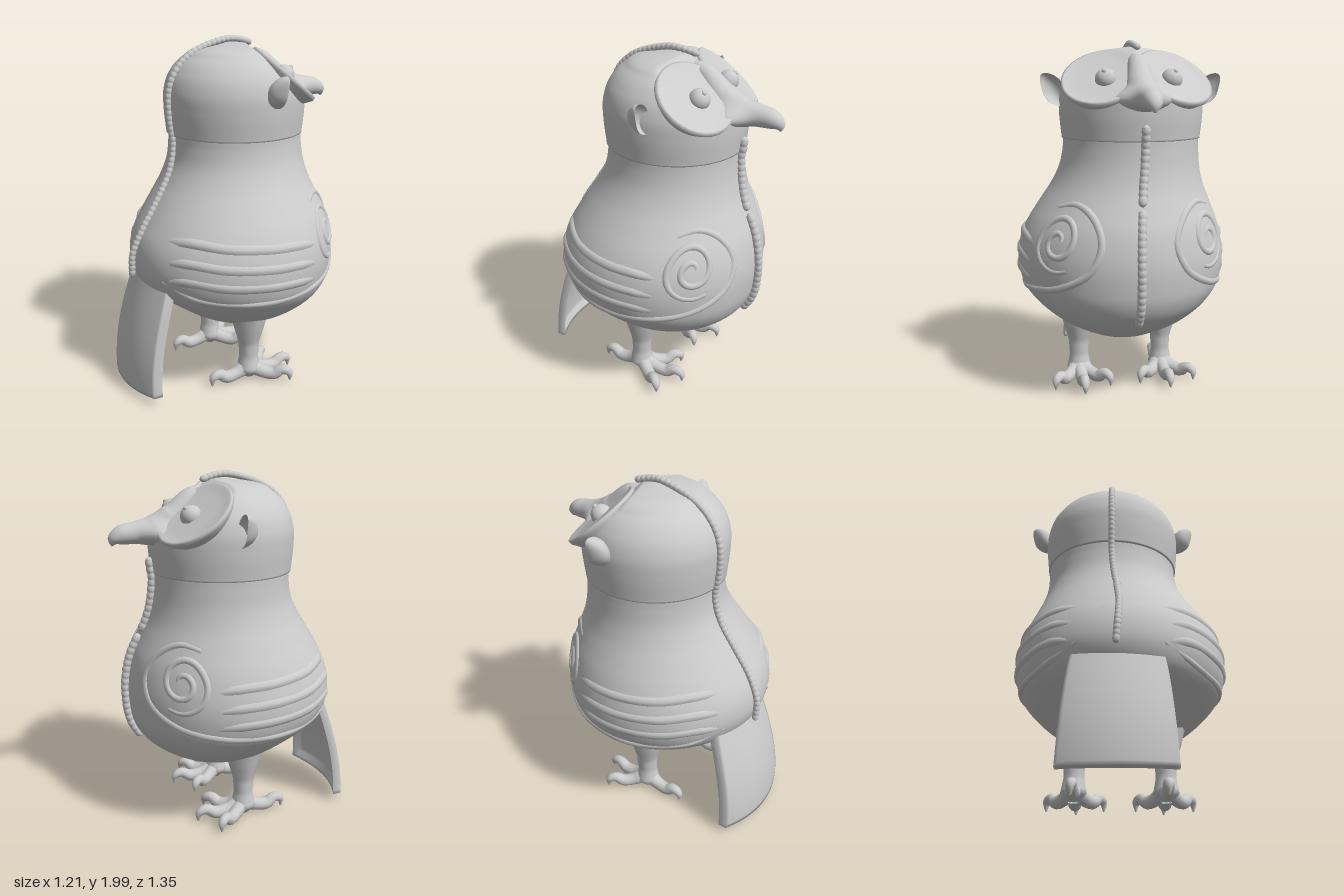
import * as THREE from 'three';
import { mergeVertices } from 'three/addons/utils/BufferGeometryUtils.js';

const mat = new THREE.MeshStandardMaterial({ color: 0xcccccc, side: THREE.DoubleSide });
const V = (x, y, z) => new THREE.Vector3(x, y, z);
const MID = -0.05; // head midline
const smooth = (g) => {
  g.deleteAttribute('uv');
  g.deleteAttribute('normal');
  const m = mergeVertices(g, 1e-5);
  m.computeVertexNormals();
  return m;
};
const add = (parent, name, geo) => {
  const m = new THREE.Mesh(geo, mat);
  m.name = name;
  parent.add(m);
  return m;
};

// Cross-sections, bottom to top: height, radius, forward shift
const bodyRows = [
  [0.33, 0.2, 0.085], [0.4, 0.335, 0.09], [0.5, 0.468, 0.08], [0.6, 0.558, 0.045], [0.7, 0.592, 0.028],
  [0.8, 0.597, 0.028], [0.9, 0.579, 0.035], [1.0, 0.54, 0.05], [1.1, 0.487, 0.06], [1.2, 0.435, 0.07],
  [1.3, 0.4, 0.08], [1.4, 0.386, 0.083], [1.462, 0.384, 0.083]];
const headRows = [
  [1.455, 0.392, 0.08], [1.6, 0.405, 0.08], [1.7, 0.402, 0.08], [1.8, 0.365, 0.08],
  [1.88, 0.29, 0.08], [1.93, 0.19, 0.08], [1.955, 0.02, 0.08]];
const spline = (rows) => new THREE.CubicInterpolant(
  rows.map((r) => r[0]), rows.flatMap((r) => [r[1], r[2]]), 2, new Float32Array(2));
const bodyCurve = spline(bodyRows), headCurve = spline(headRows);
const lean = (y) => MID * THREE.MathUtils.smoothstep(y, 0.85, 1.46);

// Point on the skin; az runs from the chest (0) through the left side to the back (PI)
function skin(az, y, out = 0) {
  const [r, u] = (y < 1.46 ? bodyCurve : headCurve).evaluate(y);
  return V(lean(y) + Math.sin(az) * (r + out), y, -u - Math.cos(az) * (r + out));
}

// Lathe whose rings are shifted along the leaning axis
function turned(rows, curve, segs) {
  const y0 = rows[0][0], y1 = rows[rows.length - 1][0];
  const pts = [new THREE.Vector2(0, y0 - 0.008)];
  for (let i = 0; i <= segs; i++) {
    const y = y0 + (y1 - y0) * Math.sin((i / segs) * Math.PI / 2);
    pts.push(new THREE.Vector2(Math.max(0.001, curve.evaluate(y)[0]), y));
  }
  pts.push(new THREE.Vector2(0, y1 + 0.002));
  const g = new THREE.LatheGeometry(pts, 96), p = g.attributes.position;
  for (let i = 0; i < p.count; i++) {
    const y = p.getY(i), u = curve.evaluate(THREE.MathUtils.clamp(y, y0, y1))[1];
    p.setX(i, p.getX(i) + lean(y));
    p.setZ(i, p.getZ(i) - u);
  }
  return g;
}

// Tube along points with a radius given at each point
function limb(points, radii, n = 24, sides = 12) {
  const curve = new THREE.CatmullRomCurve3(points);
  const g = new THREE.TubeGeometry(curve, n, 1, sides), p = g.attributes.position, v = V(0, 0, 0);
  for (let i = 0; i <= n; i++) {
    const c = curve.getPointAt(i / n), t = curve.getUtoTmapping(i / n) * (radii.length - 1);
    const k = Math.min(radii.length - 2, Math.floor(t));
    const r = THREE.MathUtils.lerp(radii[k], radii[k + 1], t - k);
    for (let j = 0; j <= sides; j++) {
      const id = i * (sides + 1) + j;
      v.fromBufferAttribute(p, id).sub(c).multiplyScalar(r).add(c);
      p.setXYZ(id, v.x, v.y, v.z);
    }
  }
  return smooth(g);
}

// Row of overlapping beads along a curve
function beads(parent, name, points, count, size) {
  const curve = new THREE.CatmullRomCurve3(points);
  const group = new THREE.Group();
  group.name = name;
  add(group, name + 'Base', new THREE.TubeGeometry(curve, 80, size * 0.85, 8));
  for (let i = 0; i < count; i++) {
    const t = (i + 0.5) / count;
    const b = add(group, name + 'Bead', new THREE.SphereGeometry(size, 10, 8));
    b.position.copy(curve.getPointAt(t));
    b.quaternion.setFromUnitVectors(V(0, 1, 0), curve.getTangentAt(t));
    b.scale.set(0.95, 1.3, 0.95);
  }
  parent.add(group);
}

export function createModel() {
  const model = new THREE.Group();
  const bird = new THREE.Group();
  bird.name = 'bird';
  bird.rotation.y = -0.36;
  model.add(bird);

  add(bird, 'body', smooth(turned(bodyRows, bodyCurve, 70)));

  // Head, its front sliced by two sloping face planes
  const headGeo = turned(headRows, headCurve, 90), hp = headGeo.attributes.position;
  for (let i = 0; i < hp.count; i++) {
    const cut = 2.065 + 0.77 * hp.getZ(i) - 0.33 * Math.abs(hp.getX(i) - MID);
    if (hp.getY(i) > 1.5) hp.setY(i, Math.min(hp.getY(i), cut));
  }
  add(bird, 'head', smooth(headGeo));

  for (const side of [-1, 1]) {
    // Face disc with a low rim, tapering back into the head
    const dish = [[0, 0], [0.14, 0.002], [0.19, 0.004], [0.21, 0.013], [0.222, 0.008], [0.222, -0.012], [0.19, -0.06], [0.12, -0.13], [0, -0.15]]
      .map(([r, y]) => new THREE.Vector2(r, y)).reverse();
    const disc = add(bird, 'faceDisc', new THREE.LatheGeometry(dish, 48));
    disc.position.set(MID + side * 0.197, 1.786, -0.29);
    disc.quaternion.setFromUnitVectors(V(0, 1, 0), V(side * 0.33, 1, -0.77).normalize());

    const eye = add(bird, 'eye', new THREE.SphereGeometry(0.058, 24, 16));
    eye.position.set(MID + side * 0.18, 1.777, -0.305);
    const pupil = add(bird, 'pupil', new THREE.SphereGeometry(0.014, 12, 8));
    pupil.position.set(MID + side * 0.193, 1.819, -0.337);

    // Cupped, leaf-shaped ear
    const earGeo = new THREE.SphereGeometry(1, 24, 16), ep = earGeo.attributes.position;
    for (let i = 0; i < ep.count; i++) {
      const x = ep.getX(i), y = ep.getY(i), z = ep.getZ(i);
      const hollow = z < 0 ? -0.4 * z : z;
      ep.setXYZ(i, side * (x * 0.06 + 0.03 * y * Math.abs(y)), y * 0.1, hollow * 0.05 - 0.03 * (x * x + y * y));
    }
    const ear = add(bird, 'ear', smooth(earGeo));
    ear.position.set(MID + side * 0.44, 1.72, -0.09);
    ear.rotation.z = -side * 0.25;

    // Wing relief: spiral shoulder, outline and soft feather ridges
    const wing = new THREE.Group();
    wing.name = 'wing';
    const ridge = (name, pts, r) => add(wing, name, limb(
      pts.map(([az, y]) => skin(az * side, y, 0.01 - r)), [0.75 * r, r, r, r, r, 0.75 * r], 64, 10));
    const spiral = [];
    for (let i = 0; i <= 32; i++) {
      const a = 0.2 + (i / 32) * Math.PI * 3.6, r = 0.025 + 0.14 * (i / 32);
      spiral.push([0.82 - Math.cos(a) * r * 1.75, 0.93 + Math.sin(a) * r]);
    }
    ridge('spiral', spiral, 0.022);
    ridge('wingOutline', [[1.0, 1.1], [0.75, 1.12], [0.5, 1.06], [0.36, 0.93], [0.45, 0.79],
      [0.75, 0.69], [1.2, 0.64], [1.8, 0.625], [2.4, 0.65], [2.75, 0.72]], 0.024);
    for (const [y, end] of [[0.93, 3.0], [0.83, 2.9], [0.735, 2.8]]) {
      ridge('feather', [[1.0, y - 0.05], [1.35, y - 0.02], [1.7, y - 0.01], [2.1, y], [2.5, y + 0.015], [end, y - 0.02]], 0.036);
    }
    bird.add(wing);

    // Leg and foot with hooked toes
    const leg = new THREE.Group();
    leg.name = 'leg';
    leg.position.set(side * 0.25, 0, -0.015);
    add(leg, 'shank', limb([V(0, 0.42, 0), V(0, 0.34, 0), V(0, 0.24, 0), V(0, 0.15, 0), V(0, 0.07, 0), V(0, 0.02, 0)],
      [0.11, 0.09, 0.061, 0.056, 0.072, 0.03]));
    for (const [angle, len] of [[-0.7, 0.25], [0, 0.28], [0.7, 0.25], [Math.PI, 0.245]]) {
      const toe = add(leg, 'toe', limb(
        [V(0, 0.09, 0), V(0, 0.052, -len * 0.35), V(0, 0.045, -len * 0.62), V(0, 0.075, -len * 0.82), V(0, 0.06, -len * 0.98), V(0, 0.008, -len)],
        [0.05, 0.038, 0.037, 0.03, 0.024, 0.004]));
      toe.rotation.y = angle;
    }
    bird.add(leg);
  }

  // Hooked beak running down from the brow, flared at its base into the face
  const beakGeo = limb(
    [[0.13, 1.9], [0.24, 1.865], [0.36, 1.74], [0.46, 1.69], [0.56, 1.68], [0.64, 1.67], [0.68, 1.645], [0.69, 1.615]]
      .map(([u, y]) => V(MID, y, -u)),
    [0.015, 0.05, 0.085, 0.08, 0.06, 0.052, 0.035, 0.004], 48, 32);
  const bp = beakGeo.attributes.position;
  for (let i = 0; i < bp.count; i++) {
    const dx = bp.getX(i) - MID, u = -bp.getZ(i);
    const low = THREE.MathUtils.smoothstep(0.08 - (bp.getY(i) - 1.68), 0, 0.1);
    bp.setX(i, MID + dx * (1 + 1.1 * low * Math.exp(-(((u - 0.43) / 0.08) ** 2))));
  }
  beakGeo.computeVertexNormals();
  add(bird, 'beak', beakGeo);

  // Beaded crest from crown to rump, and beaded seam on the chest
  const crest = [V(MID - 0.015, 1.95, -0.19), V(MID, 1.972, -0.1), V(MID, 1.972, -0.02)];
  for (const y of [1.92, 1.86, 1.78, 1.68, 1.55, 1.4, 1.25, 1.1, 0.95, 0.82, 0.69]) {
    crest.push(skin(Math.PI + Math.max(0, 1 - y) * 0.12, y, 0.008 + Math.max(0, 1 - y) * 0.09));
  }
  beads(bird, 'crest', crest, 58, 0.021);
  const seam = (a, b, out) => Array.from({ length: 9 }, (_, i) => skin(0, a + (b - a) * i / 8, out));
  beads(bird, 'upperChestSeam', seam(1.53, 1.14, 0.01), 11, 0.026);
  beads(bird, 'lowerChestSeam', seam(1.1, 0.5, 0.016), 17, 0.026);

  // Curved tail plate rooted in the body, lipped inwards along its edges
  const tailGeo = new THREE.BoxGeometry(1, 1, 1, 32, 28, 1), tp = tailGeo.attributes.position;
  for (let i = 0; i < tp.count; i++) {
    const s = tp.getX(i) * 2, d = 0.5 - tp.getY(i), inner = 0.5 - tp.getZ(i);
    const x = s * (0.225 + 0.068 * Math.sqrt(d));
    const lip = Math.abs(s) > 0.93 || d > 0.96 ? 0.05 : 0.028;
    const back = 0.525 + 0.152 * Math.sin(d * Math.PI / 2);
    tp.setXYZ(i, x - 0.015, 0.7 - 0.66 * d + 0.01 * s * s * d, back - 0.8 * x * x - inner * lip);
  }
  add(bird, 'tail', smooth(tailGeo));

  return model;
}
